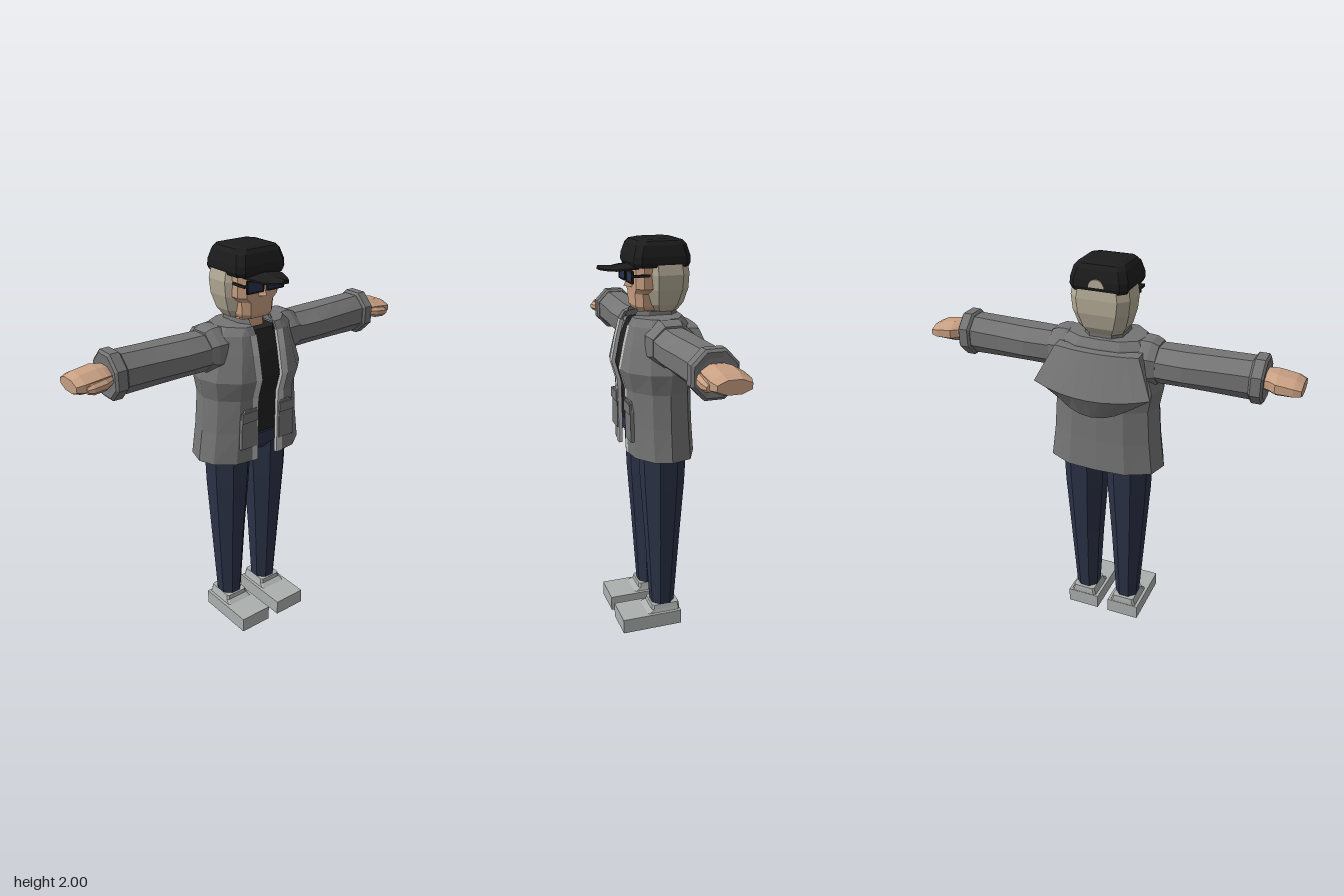
import * as THREE from 'three';

const paint = (name, color, side = THREE.FrontSide) => {
  const m = new THREE.MeshStandardMaterial({ color, side });
  m.name = name;
  return m;
};

// Faceted surface through a list of point rings; closed lofts get end caps and face outward
function loft(rings, closed = true) {
  const p = [], n = rings[0].length;
  const tri = (a, b, c) => p.push(...a, ...b, ...c);
  for (let i = 0; i < rings.length - 1; i++) {
    for (let j = 0; j < (closed ? n : n - 1); j++) {
      const k = (j + 1) % n, a = rings[i], b = rings[i + 1];
      tri(a[j], a[k], b[k]);
      tri(a[j], b[k], b[j]);
    }
  }
  if (closed) {
    const first = rings[0], last = rings[rings.length - 1];
    for (let j = 1; j < n - 1; j++) {
      tri(first[0], first[j + 1], first[j]);
      tri(last[0], last[j], last[j + 1]);
    }
  }
  const g = new THREE.BufferGeometry();
  g.setAttribute('position', new THREE.Float32BufferAttribute(p, 3));
  let volume = 0;
  const [a, b, c] = [new THREE.Vector3(), new THREE.Vector3(), new THREE.Vector3()];
  for (let i = 0; i < p.length; i += 9) {
    volume += a.fromArray(p, i).dot(b.fromArray(p, i + 3).cross(c.fromArray(p, i + 6)));
  }
  if (closed && volume < 0) reverse(g);
  g.computeVertexNormals();
  return g;
}

function reverse(g) {
  const a = g.attributes.position.array;
  for (let i = 0; i < a.length; i += 9) {
    for (let k = 3; k < 6; k++) [a[i + k], a[i + k + 3]] = [a[i + k + 3], a[i + k]];
  }
}

function mirrored(geo) {
  const g = geo.index ? geo.toNonIndexed() : geo.clone();
  g.scale(-1, 1, 1);
  reverse(g);
  g.computeVertexNormals();
  return g;
}

// Horizontal rectangle with cut corners, spanning z0..z1
function slab(y, w, z1, z0, cut = 0.03, cx = 0) {
  return [[w, z0 + cut], [w, z1 - cut], [w - cut, z1], [cut - w, z1],
    [-w, z1 - cut], [-w, z0 + cut], [cut - w, z0], [w - cut, z0]].map(([x, z]) => [cx + x, y, z]);
}

// Octagon standing across the arm
function armRing(x, ry, rz, cy = 1.535, cz = -0.01) {
  return Array.from({ length: 8 }, (_, i) => {
    const t = (i + 0.5) * Math.PI / 4, k = 1 / Math.cos(Math.PI / 8);
    return [x, cy + ry * k * Math.sin(t), cz + rz * k * Math.cos(t)];
  });
}

const box = (w, h, d, x, y, z) => new THREE.BoxGeometry(w, h, d).translate(x, y, z);

export function createModel() {
  const model = new THREE.Group();
  model.name = 'standingPerson';
  const jacket = paint('jacketGrey', 0x757575, THREE.DoubleSide);
  const lining = paint('liningGrey', 0xbcbcbc, THREE.DoubleSide);
  const denim = paint('denimBlue', 0x2c3348);
  const black = paint('capBlack', 0x1c1c1c);
  const shirt = paint('shirtBlack', 0x202020);
  const skin = paint('skin', 0xc89f82);
  const hair = paint('hairBlond', 0xb5ad98);
  const shoe = paint('shoeGrey', 0xabb0ae);
  const lens = paint('lensBlue', 0x28324e);

  const add = (name, geo, mat) => {
    const m = new THREE.Mesh(geo, mat);
    m.name = name;
    model.add(m);
  };
  const pair = (name, geo, mat) => {
    add(name + 'Left', geo, mat);
    add(name + 'Right', mirrored(geo), mat);
  };

  // Shoes and trousers
  pair('shoeSole', box(0.175, 0.078, 0.32, 0.118, 0.039, 0.07), shoe);
  pair('shoeTop', loft([slab(0.078, 0.072, 0.09, -0.088, 0.01, 0.118),
    slab(0.095, 0.066, 0.065, -0.088, 0.01, 0.118), slab(0.118, 0.06, 0.062, -0.085, 0.01, 0.118)]), shoe);
  const legRing = (y, r, cx, cz) => Array.from({ length: 8 }, (_, i) => {
    const t = (i + 0.5) * Math.PI / 4, k = r / Math.cos(Math.PI / 8);
    return [cx + k * Math.cos(t), y, cz + k * Math.sin(t)];
  });
  pair('trouserLeg', loft([legRing(0.115, 0.06, 0.118, -0.008), legRing(0.5, 0.083, 0.12, -0.008),
    legRing(0.8, 0.103, 0.119, -0.008), legRing(1.02, 0.112, 0.117, -0.008)]), denim);
  add('trouserHips', loft([slab(0.975, 0.17, 0.08, -0.1, 0.05), slab(1.02, 0.225, 0.115, -0.125, 0.05),
    slab(1.1, 0.215, 0.12, -0.125, 0.05)]), denim);
  add('waistband', box(0.13, 0.018, 0.008, 0, 1.092, 0.122), lens);

  // Shirt
  add('shirt', loft([[1.1, 0.135, 0.12], [1.3, 0.145, 0.12], [1.4, 0.17, 0.12], [1.52, 0.15, 0.11], [1.62, 0.115, 0.09]]
    .map(([y, z, w]) => slab(y, w, z, -0.1, 0.03))), shirt);

  // Jacket body, open down the front: height, half width, front z, back z
  const levels = [[0.97, 0.3, 0.16, -0.17], [1.13, 0.278, 0.16, -0.16], [1.3, 0.265, 0.163, -0.155],
    [1.4, 0.285, 0.192, -0.16], [1.52, 0.25, 0.168, -0.165], [1.61, 0.225, 0.145, -0.145],
    [1.645, 0.19, 0.125, -0.12], [1.65, 0.1, 0.1, -0.09]];
  const body = levels.map(([y, w, f, b]) => {
    const half = [[0.062, f], [Math.min(0.1, w * 0.7), f], [Math.max(w * 0.6, 0.065), f * 0.93], [w * 0.9, f * 0.5],
      [w, 0], [w * 0.9, b * 0.6], [w * 0.5, b * 0.95]];
    return [...half.map(([x, z]) => [x, y, z]), [0, y, b], ...half.reverse().map(([x, z]) => [-x, y, z])];
  });
  add('jacketBody', loft(body, false), jacket);
  pair('frontFacing', loft(levels.slice(0, 6).map(([y, , f]) =>
    [[0.06, y, f - 0.015], [0.06, y, f + 0.004], [0.096, y, f + 0.004]]), false), lining);

  // Collar
  const collar = [[1.62, 0.1, 0.125], [1.67, 0.095, 0.1]].map(([y, w, f]) =>
    [[0.065, f], [w, f * 0.5], [w, -0.06], [0.055, -0.1], [-0.055, -0.1], [-w, -0.06], [-w, f * 0.5], [-0.065, f]]
      .map(([x, z]) => [x, y, z]));
  add('collar', loft(collar, false), jacket);

  // Slanted pockets with flaps
  const pocket = new THREE.Shape([[0.07, 1.05], [0.165, 1.05], [0.16, 1.2], [0.14, 1.25], [0.07, 1.255]]
    .map(q => new THREE.Vector2(...q)));
  pair('pocket', new THREE.ExtrudeGeometry(pocket, { depth: 0.025, bevelEnabled: false }).translate(0, 0, 0.143), jacket);
  pair('pocketFlap', box(0.095, 0.05, 0.012, 0.115, 1.215, 0.168), jacket);

  // Shoulders, sleeves and cuffs
  pair('shoulder', loft([armRing(0.13, 0.1, 0.1), armRing(0.2, 0.112, 0.115), armRing(0.235, 0.11, 0.112),
    armRing(0.27, 0.095, 0.1)]), jacket);
  pair('sleeve', loft([armRing(0.2, 0.085, 0.09), armRing(0.28, 0.088, 0.1, 1.533), armRing(0.4, 0.087, 0.108),
    armRing(0.55, 0.09, 0.098), armRing(0.72, 0.094, 0.092)]), jacket);
  pair('cuff', loft([armRing(0.705, 0.095, 0.095), armRing(0.715, 0.107, 0.105), armRing(0.76, 0.107, 0.105),
    armRing(0.77, 0.095, 0.093), armRing(0.768, 0.07, 0.07)]), jacket);

  // Hands
  pair('hand', loft([armRing(0.74, 0.04, 0.06, 1.54), armRing(0.79, 0.047, 0.075, 1.54), armRing(0.82, 0.05, 0.088, 1.538, -0.018),
    armRing(0.9, 0.043, 0.088, 1.533, -0.018), armRing(0.935, 0.03, 0.075, 1.53, -0.02)]), skin);
  pair('thumb', loft([armRing(0.77, 0.018, 0.02, 1.535, 0.05), armRing(0.81, 0.026, 0.028, 1.53, 0.065),
    armRing(0.87, 0.024, 0.024, 1.525, 0.07), armRing(0.895, 0.014, 0.014, 1.522, 0.068)]), skin);

  // Hood hanging across the back
  const hood = [];
  for (let i = -4; i <= 4; i++) {
    const t = i / 4, q = t * t;
    hood.push([[0.21 * t, 1.605, -0.13 + 0.03 * q], [0.21 * t, 1.6, -0.185 + 0.03 * q],
      [0.293 * t, 1.4 + 0.03 * q, -0.272 + 0.05 * q], [0.24 * t, 1.29 + 0.1 * q, -0.22 + 0.05 * q],
      [0.2 * t, 1.29 + 0.1 * q, -0.13 + 0.02 * q]]);
  }
  add('hood', loft(hood), jacket);

  // Head
  add('neck', loft([slab(1.58, 0.075, 0.07, -0.07), slab(1.7, 0.07, 0.06, -0.07)]), skin);
  add('face', loft([slab(1.67, 0.08, 0.095, -0.06), slab(1.69, 0.09, 0.107, -0.08), slab(1.75, 0.094, 0.11, -0.09),
    slab(1.775, 0.118, 0.112, -0.09), slab(1.89, 0.12, 0.112, -0.09)]), skin);
  add('nose', loft([[[-0.03, 1.775, 0.1], [0.03, 1.775, 0.1], [0, 1.78, 0.147]],
    [[-0.01, 1.845, 0.1], [0.01, 1.845, 0.1], [0, 1.845, 0.12]]]), skin);
  add('hair', loft([slab(1.665, 0.095, 0.04, -0.105, 0.04), slab(1.7, 0.118, 0.055, -0.128, 0.045),
    slab(1.77, 0.138, 0.062, -0.145, 0.045), slab(1.84, 0.145, 0.065, -0.147, 0.045),
    slab(1.9, 0.135, 0.065, -0.14, 0.045)]), hair);

  // Glasses
  pair('lens', box(0.085, 0.052, 0.006, 0.058, 1.833, 0.134), lens);
  pair('lensRim', box(0.01, 0.06, 0.01, 0.103, 1.833, 0.134), black);
  pair('lensInnerRim', box(0.008, 0.055, 0.01, 0.015, 1.833, 0.134), black);
  pair('lensLowerRim', box(0.09, 0.007, 0.01, 0.058, 1.805, 0.134), black);
  pair('glassesArm', box(0.008, 0.012, 0.085, 0.122, 1.84, 0.096), black);
  pair('glassesHinge', box(0.022, 0.012, 0.01, 0.114, 1.84, 0.134), black);
  add('glassesTopBar', box(0.2, 0.01, 0.01, 0, 1.858, 0.134), black);

  // Cap with brim and rear opening
  add('capCrown', loft([slab(1.875, 0.132, 0.122, -0.14, 0.025), slab(1.895, 0.141, 0.13, -0.148, 0.03),
    slab(1.925, 0.14, 0.128, -0.146, 0.03), slab(1.975, 0.126, 0.112, -0.132, 0.03),
    slab(1.993, 0.112, 0.098, -0.118, 0.03), slab(2.0, 0.085, 0.07, -0.09, 0.025)]), black);
  const brim = [[0.1, 0.1, 1.88], [0.15, 0.094, 1.876], [0.2, 0.075, 1.87], [0.245, 0.045, 1.871], [0.27, 0.022, 1.874]]
    .map(([z, w, y]) => [[-w, y - 0.012, z], [0, y, z], [w, y - 0.012, z], [w, y - 0.004, z], [0, y + 0.009, z], [-w, y - 0.004, z]]);
  add('capBrim', loft(brim), black);
  const gap = new THREE.CylinderGeometry(0.038, 0.038, 0.008, 10, 1, false, -Math.PI / 2, Math.PI)
    .rotateX(-Math.PI / 2).translate(0, 1.897, -0.146);
  add('capOpening', gap, hair);

  return model;
}
